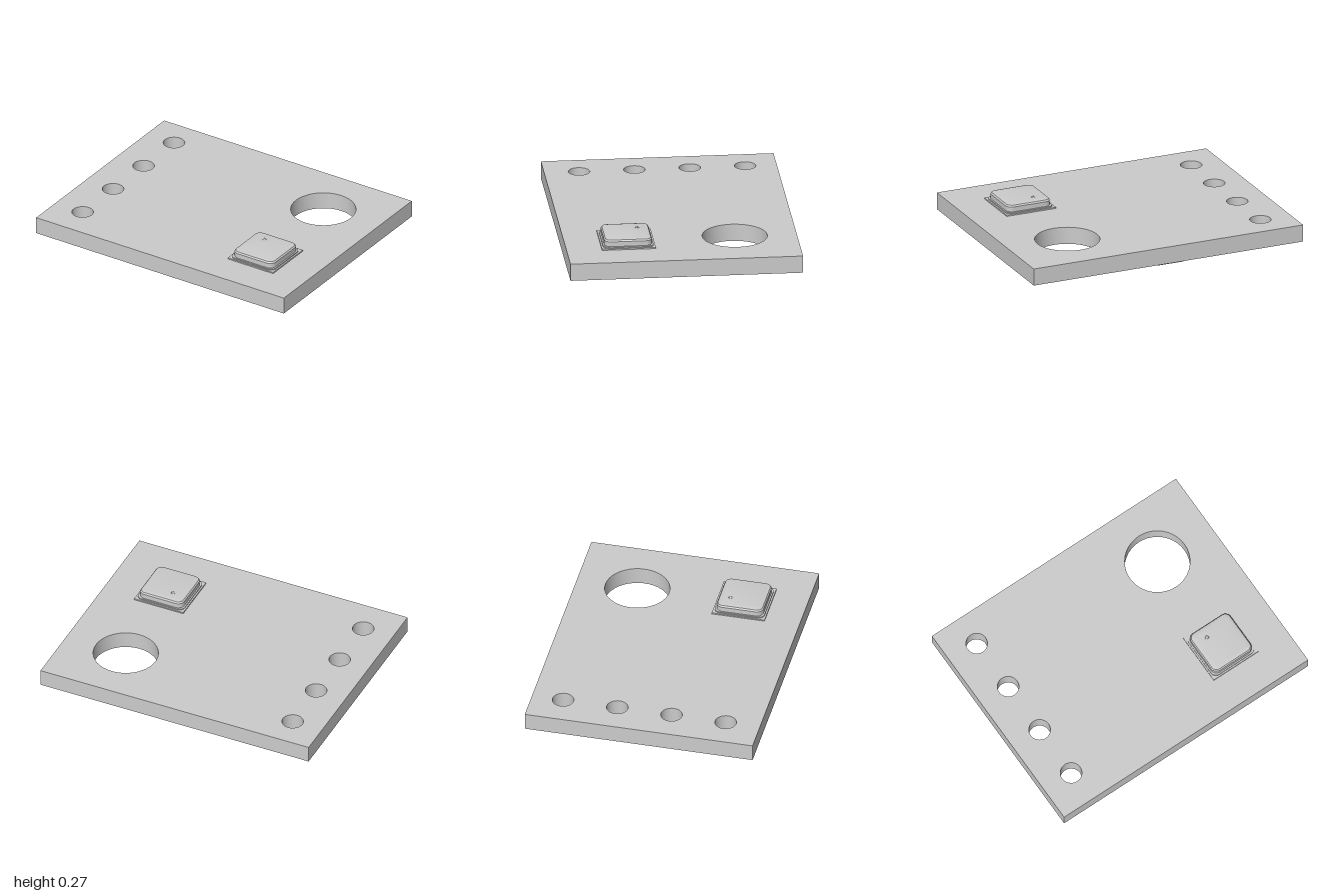
import * as THREE from 'three';
import { toCreasedNormals } from 'three/addons/utils/BufferGeometryUtils.js';

const material = new THREE.MeshStandardMaterial({ color: 0xcccccc });
const BOARD_BOTTOM = 0.085, BOARD_TOP = 0.205;

function addMesh(parent, name, geometry, x = 0, y = 0, z = 0) {
  const mesh = new THREE.Mesh(geometry, material);
  mesh.name = name;
  mesh.position.set(x, y, z);
  parent.add(mesh);
  return mesh;
}

// Extrude a plan outline upwards; outline y becomes -z
function slab(shape, height, options = {}) {
  const g = new THREE.ExtrudeGeometry(shape, { depth: height, bevelEnabled: false, curveSegments: 20, ...options });
  return toCreasedNormals(g.rotateX(-Math.PI / 2), 0.5);
}

function roundedSquare(half, r) {
  const s = new THREE.Shape();
  const c = half - r;
  s.absarc(c, c, r, 0, Math.PI / 2);
  s.absarc(-c, c, r, Math.PI / 2, Math.PI);
  s.absarc(-c, -c, r, Math.PI, Math.PI * 1.5);
  s.absarc(c, -c, r, Math.PI * 1.5, Math.PI * 2);
  s.closePath();
  return s;
}

// Moulded package body: widest at mid height, drafted towards both ends
function moldedBody(width, height, depth) {
  const g = new THREE.BoxGeometry(width, height, depth, 1, 2, 1).toNonIndexed();
  const p = g.attributes.position;
  for (let i = 0; i < p.count; i++) {
    if (Math.abs(p.getY(i)) < 1e-4) continue;
    p.setX(i, p.getX(i) - Math.sign(p.getX(i)) * 0.012);
    p.setZ(i, p.getZ(i) - Math.sign(p.getZ(i)) * 0.008);
  }
  g.computeVertexNormals();
  return g;
}

// Gull-wing lead pointing to +x, rising from the body to the board underside
function leadGeometry(width) {
  const s = new THREE.Shape();
  s.moveTo(-0.02, 0.045);
  s.lineTo(0.025, 0.045);
  s.quadraticCurveTo(0.042, 0.047, 0.044, 0.062);
  s.quadraticCurveTo(0.046, 0.071, 0.055, 0.071);
  s.lineTo(0.075, 0.071);
  s.lineTo(0.075, 0.085);
  s.lineTo(0.046, 0.085);
  s.quadraticCurveTo(0.03, 0.083, 0.028, 0.068);
  s.quadraticCurveTo(0.027, 0.06, 0.018, 0.06);
  s.lineTo(-0.02, 0.06);
  s.closePath();
  const g = new THREE.ExtrudeGeometry(s, { depth: width, bevelEnabled: false, curveSegments: 4 });
  return toCreasedNormals(g.translate(0, 0, -width / 2), 0.6);
}

function leadedChip(name, { x, z, width, depth, bottom, top, leadWidth, leftLeads, rightLeads }) {
  const chip = new THREE.Group();
  chip.name = name;
  chip.position.set(x, 0, z);
  addMesh(chip, 'moldedBody', moldedBody(width, top - bottom, depth), 0, (top + bottom) / 2, 0);
  const lead = leadGeometry(leadWidth);
  for (const dz of leftLeads) addMesh(chip, 'lead', lead, width / 2, 0, dz);
  for (const dz of rightLeads) addMesh(chip, 'lead', lead, -width / 2, 0, dz).rotation.y = Math.PI;
  return chip;
}

function createBoard() {
  const s = new THREE.Shape();
  s.moveTo(-1, -0.79);
  s.lineTo(1, -0.79);
  s.lineTo(1, 0.79);
  s.lineTo(-1, 0.79);
  s.closePath();
  const holes = [[0.56, -0.37, 0.221]];
  for (let i = 0; i < 4; i++) holes.push([-0.78, -0.575 + i * 0.376, 0.073]);
  for (const [x, z, r] of holes) s.holes.push(new THREE.Path().absarc(x, -z, r, 0, Math.PI * 2, true));
  return slab(s, BOARD_TOP - BOARD_BOTTOM);
}

function createSensor() {
  const sensor = new THREE.Group();
  sensor.name = 'sensor';
  sensor.position.set(0.574, 0, 0.368);
  addMesh(sensor, 'sensorBase', new THREE.BoxGeometry(0.366, 0.01, 0.366), 0, 0.209, 0);
  addMesh(sensor, 'lidFlange', slab(roundedSquare(0.172, 0.04), 0.009), 0, 0.213, 0);
  // Lid with chamfered top edge; its lower chamfer sits inside the base
  const lid = slab(roundedSquare(0.136, 0.02), 0.038,
    { bevelEnabled: true, bevelSize: 0.026, bevelThickness: 0.015, bevelSegments: 2, curveSegments: 6 });
  addMesh(sensor, 'lid', lid, 0, 0.218, 0);
  const vent = new THREE.TorusGeometry(0.012, 0.002, 6, 16).rotateX(Math.PI / 2);
  addMesh(sensor, 'ventRim', vent, -0.06, 0.271, -0.08);
  return sensor;
}

// Array block with notches along both long edges
function createResistorArray() {
  const hw = 0.24, hd = 0.122, n = 0.016, d = 0.025, pitch = 0.122;
  const s = new THREE.Shape();
  s.moveTo(-hw, -hd);
  for (const side of [1, -1]) {
    for (let i = -1; i <= 1; i++) {
      const c = i * pitch;
      s.lineTo(side * (c - n), -side * hd);
      s.lineTo(side * (c - n), -side * (hd - d));
      s.lineTo(side * (c + n), -side * (hd - d));
      s.lineTo(side * (c + n), -side * hd);
    }
    s.lineTo(side * hw, -side * hd);
    s.lineTo(side * hw, side * hd);
  }
  return slab(s, 0.032);
}

export function createModel() {
  const model = new THREE.Group();
  model.name = 'sensorBoard';

  addMesh(model, 'circuitBoard', createBoard(), 0, BOARD_BOTTOM, 0);
  model.add(createSensor());

  // Small flat parts on the underside
  const small = new THREE.BoxGeometry(0.24, 0.02, 0.115);
  for (const z of [0.142, 0.357, 0.585]) addMesh(model, 'capacitor', small, 0.36, 0.075, z);
  addMesh(model, 'sideCapacitor', small, -0.51, 0.075, -0.45).rotation.y = Math.PI / 2;
  addMesh(model, 'resistorArray', createResistorArray(), -0.195, 0.053, 0.077);

  // Leaded packages on the underside
  model.add(leadedChip('regulator', {
    x: -0.105, z: -0.383, width: 0.215, depth: 0.44, bottom: 0, top: 0.08,
    leadWidth: 0.068, leftLeads: [-0.142, 0.142], rightLeads: [0],
  }));
  model.add(leadedChip('levelShifter', {
    x: -0.095, z: 0.455, width: 0.2, depth: 0.295, bottom: 0.017, top: 0.08,
    leadWidth: 0.034, leftLeads: [-0.095, 0, 0.095], rightLeads: [-0.095, 0, 0.095],
  }));
  return model;
}
